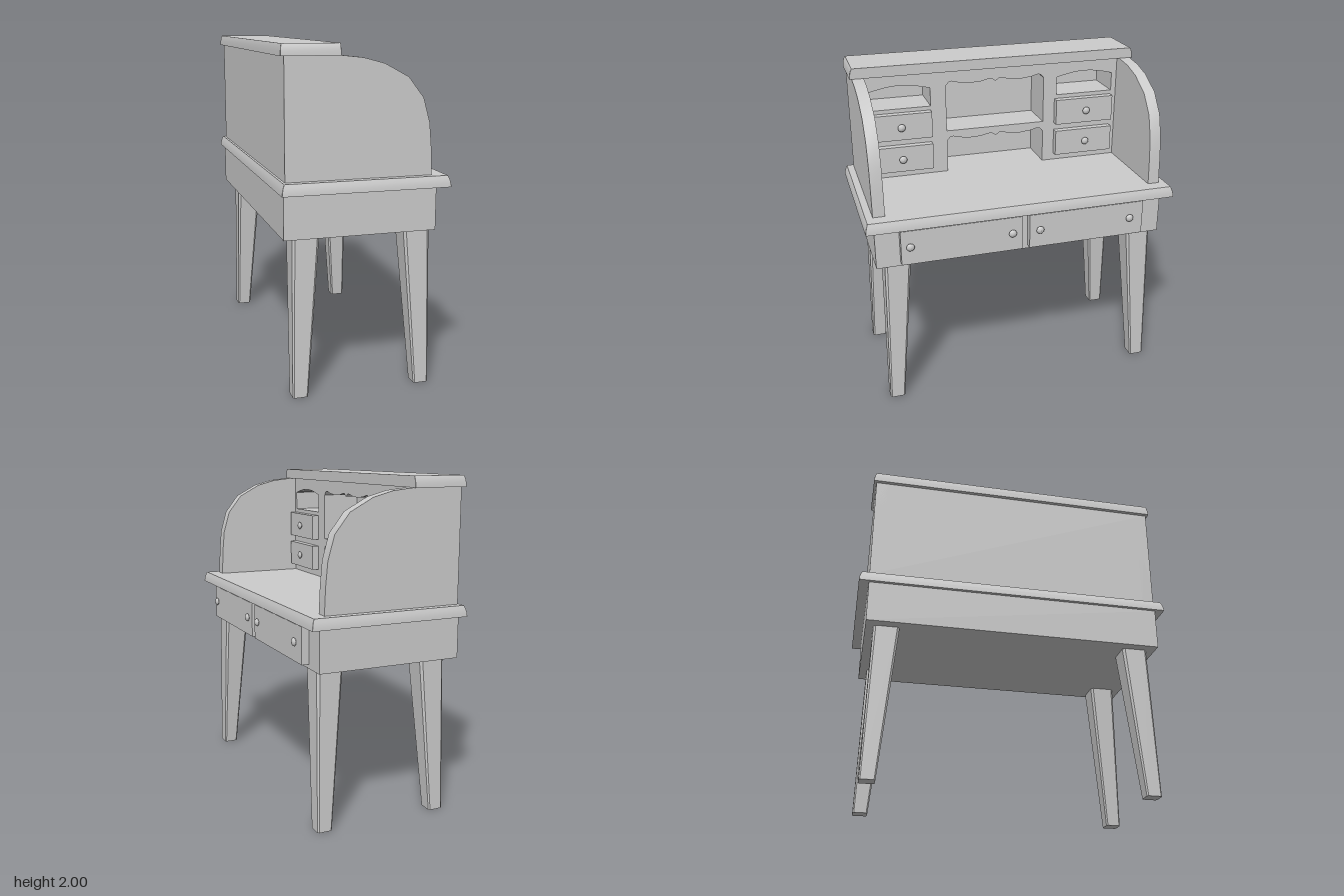
import * as THREE from 'three';
import { toCreasedNormals } from 'three/addons/utils/BufferGeometryUtils.js';

const mat = new THREE.MeshStandardMaterial({ color: 0xcccccc });

function add(parent, name, geometry) {
  const mesh = new THREE.Mesh(geometry, mat);
  mesh.name = name;
  parent.add(mesh);
  return mesh;
}

// Box given by its limits
function block(parent, name, x0, x1, y0, y1, z0, z1) {
  const mesh = add(parent, name, new THREE.BoxGeometry(x1 - x0, y1 - y0, z1 - z0));
  mesh.position.set((x0 + x1) / 2, (y0 + y1) / 2, (z0 + z1) / 2);
  return mesh;
}

// Rectangle with chamfered corners at height y, counterclockwise seen from above
function ring(y, x0, x1, z0, z1, c) {
  return [
    [x1, z1 - c], [x1, z0 + c], [x1 - c, z0], [x0 + c, z0],
    [x0, z0 + c], [x0, z1 - c], [x0 + c, z1], [x1 - c, z1],
  ].map(([x, z]) => [x, y, z]);
}

// Closed solid through a stack of rings, bottom to top
function loft(rings, crease) {
  const pos = [];
  const tri = (a, b, c) => pos.push(...a, ...b, ...c);
  const n = rings[0].length;
  for (let k = 0; k < rings.length - 1; k++) {
    const lo = rings[k], hi = rings[k + 1];
    for (let i = 0; i < n; i++) {
      const j = (i + 1) % n;
      tri(lo[i], lo[j], hi[j]);
      tri(lo[i], hi[j], hi[i]);
    }
  }
  const first = rings[0], last = rings[rings.length - 1];
  for (let i = 1; i < n - 1; i++) {
    tri(last[0], last[i], last[i + 1]);
    tri(first[0], first[i + 1], first[i]);
  }
  const g = new THREE.BufferGeometry();
  g.setAttribute('position', new THREE.Float32BufferAttribute(pos, 3));
  g.computeVertexNormals();
  return crease ? toCreasedNormals(g, crease) : g;
}

const points = (list) => list.map(([x, y]) => new THREE.Vector2(x, y));

// Round pull on a short stem, facing +x
function knob(parent, x, y, z) {
  const profile = points([[0, -0.005], [0.012, -0.005], [0.012, 0.003], [0.022, 0.006],
    [0.025, 0.012], [0.021, 0.019], [0.012, 0.024], [0, 0.026]]);
  const mesh = add(parent, 'knob', new THREE.LatheGeometry(profile, 16));
  mesh.rotation.z = -Math.PI / 2;
  mesh.position.set(x, y, z);
}

// Opening whose upper edge follows a list of points from left to right
function opening(x0, x1, y0, topEdge) {
  return new THREE.Path(points([[x0, y0], ...topEdge, [x1, y0]]));
}

// Scalloped edge mirrored about the centre
function scallop(y) {
  const half = [[-0.325, -0.005], [-0.305, 0.018], [-0.285, 0.022], [-0.24, 0.01],
    [-0.17, 0.002], [-0.1, 0.005], [-0.05, 0.017], [-0.025, 0.018], [-0.01, 0.008]];
  const mirrored = half.slice().reverse().map(([x, d]) => [-x, d]);
  return [...half, [0, 0], ...mirrored].map(([x, d]) => [x, y + d]);
}

function arch(x0, x1) {
  const edge = [];
  for (let i = 0; i <= 10; i++) {
    const t = i / 10;
    edge.push([x0 + (x1 - x0) * t, 1.833 + 0.03 * Math.sin(Math.PI * t)]);
  }
  return edge;
}

export function createModel() {
  const desk = new THREE.Group();
  desk.name = 'rollTopDesk';

  // Tapered legs with slightly trimmed corners
  for (const sx of [-1, 1]) {
    for (const sz of [-1, 1]) {
      const span = (s, inner, outer) => (s > 0 ? [inner, outer] : [-outer, -inner]);
      const foot = ring(0, ...span(sx, 0.325, 0.415), ...span(sz, 0.785, 0.877), 0.008);
      const hip = ring(0.95, ...span(sx, 0.25, 0.408), ...span(sz, 0.70, 0.857), 0.014);
      add(desk, sx > 0 ? 'frontLeg' : 'backLeg', loft([foot, hip]));
    }
  }

  // Apron case with two wide drawers
  block(desk, 'apron', -0.47, 0.42, 0.945, 1.2, -0.905, 0.91);
  for (const [z0, z1, k0, k1] of [[0.02, 0.765, 0.085, 0.71], [-0.77, -0.025, -0.68, -0.09]]) {
    const drawer = new THREE.Group();
    drawer.name = 'apronDrawer';
    desk.add(drawer);
    block(drawer, 'drawerFront', 0.41, 0.465, 0.97, 1.187, z0, z1);
    knob(drawer, 0.462, 1.085, k0);
    knob(drawer, 0.462, 1.085, k1);
  }

  // Writing surface with an eased upper edge
  add(desk, 'deskTop', loft([[1.2, 0], [1.222, 0.002], [1.245, 0.008], [1.265, 0.016]].map(
    ([y, d]) => ring(y, -0.49 + d, 0.487 - d, -0.965 + d, 0.965 - d, 0.001)), 0.5));

  // Curved side panels
  const side = new THREE.Shape(points([[-0.46, 1.26], [0.39, 1.26], [0.383, 1.42], [0.37, 1.56],
    [0.33, 1.70], [0.24, 1.815], [0.1, 1.89], [-0.02, 1.922], [-0.15, 1.936], [-0.46, 1.936]]));
  for (const z of [-0.905, 0.835]) {
    const g = new THREE.ExtrudeGeometry(side, { depth: 0.072, bevelEnabled: false });
    add(desk, 'sidePanel', toCreasedNormals(g, 0.6)).position.z = z;
  }

  // Back panel
  block(desk, 'backPanel', -0.46, -0.435, 1.26, 1.936, -0.9, 0.9);

  // Pigeonhole unit, with openings running through to the back panel
  const face = new THREE.Shape(points([[-0.84, 1.26], [0.84, 1.26], [0.84, 1.937], [-0.84, 1.937]]));
  face.holes.push(
    opening(-0.325, 0.325, 1.264, scallop(1.478)),
    opening(-0.325, 0.325, 1.54, scallop(1.842)),
    opening(-0.81, -0.425, 1.715, arch(-0.81, -0.425)),
    opening(0.415, 0.80, 1.715, arch(0.415, 0.80)),
  );
  const unit = add(desk, 'pigeonholes',
    new THREE.ExtrudeGeometry(face, { depth: 0.25, bevelEnabled: false }));
  unit.rotation.y = Math.PI / 2;
  unit.position.x = -0.437;

  // Small drawers on both sides of the unit
  for (const [z0, z1, kz] of [[0.427, 0.815, 0.625], [-0.795, -0.402, -0.607]]) {
    for (const y of [1.395, 1.607]) {
      const drawer = new THREE.Group();
      drawer.name = 'smallDrawer';
      desk.add(drawer);
      block(drawer, 'drawerFront', -0.195, -0.142, y - 0.083, y + 0.083, z0, z1);
      knob(drawer, -0.142, y, kz);
    }
  }

  // Top board, eased at the back and ends, square at the front
  add(desk, 'topBoard', loft([[1.935, 0], [1.96, 0.002], [1.985, 0.008], [2, 0.016]].map(
    ([y, d]) => ring(y, -0.482 + d * 0.6, -0.15, -0.922 + d, 0.92 - d, 0.001)), 0.5));

  return desk;
}
